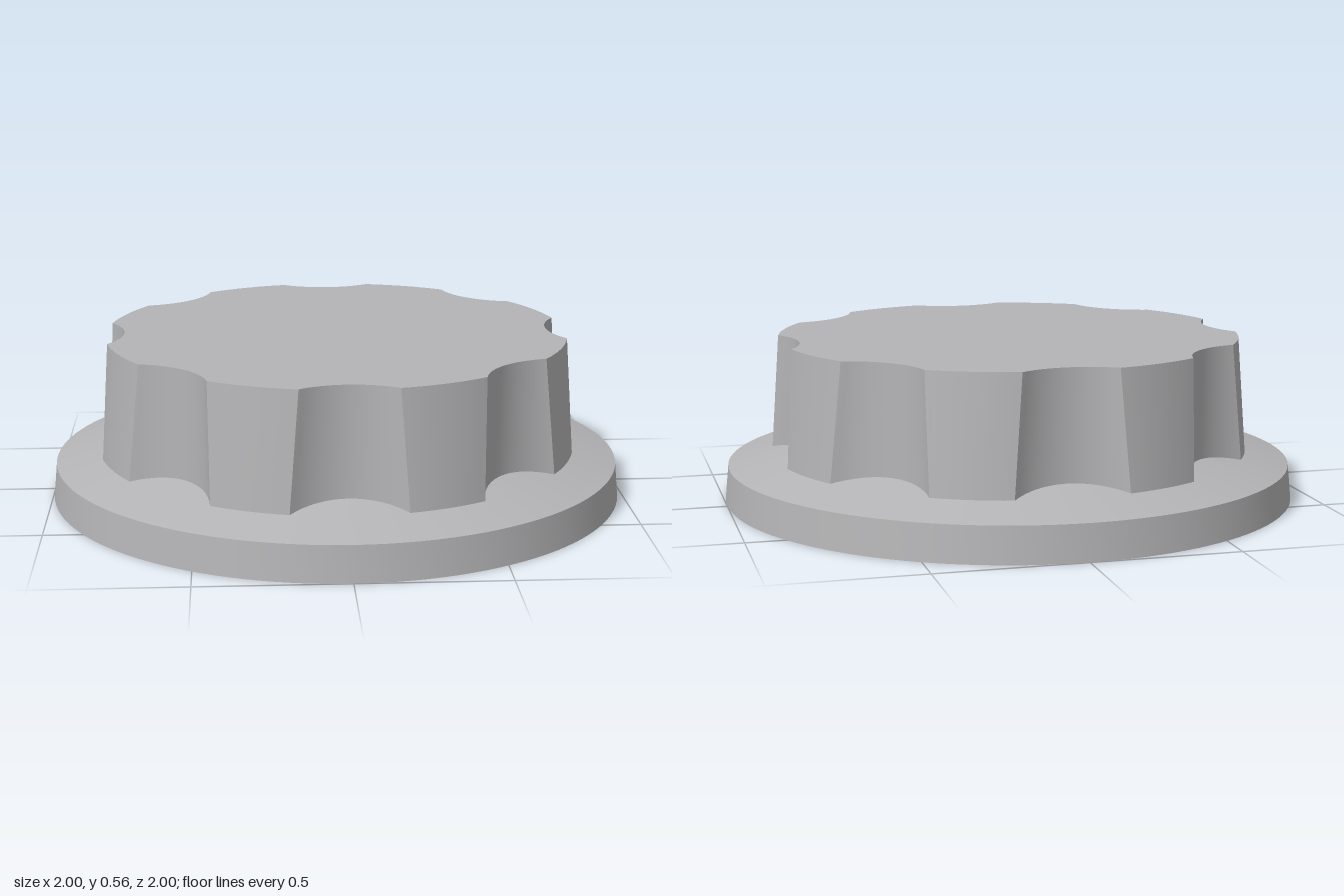
import * as THREE from 'three';
import { mergeGeometries, toCreasedNormals } from 'three/addons/utils/BufferGeometryUtils.js';

const COUNT = 8, STEP = (Math.PI * 2) / COUNT;
const CUT_C = 1.02, CUT_R = 0.28; // scallop cutter: distance of its axis and its radius
const BOTTOM = { r: 0.837, y: 0.162 }, TOP = { r: 0.806, y: 0.565 };
const SEG = 16;

// half the angle a scallop takes out of a circle of radius r
const halfAngle = (r) => Math.acos((r * r + CUT_C * CUT_C - CUT_R * CUT_R) / (2 * r * CUT_C));

// points [x, z] along scallop k at rim radius r
function scallopArc(r, k) {
  const a = halfAngle(r), phi = k * STEP;
  const b = Math.atan2(r * Math.sin(a), CUT_C - r * Math.cos(a));
  return Array.from({ length: SEG + 1 }, (_, i) => {
    const t = -b + (2 * b * i) / SEG;
    const u = CUT_C - CUT_R * Math.cos(t), v = CUT_R * Math.sin(t);
    return [u * Math.sin(phi) + v * Math.cos(phi), u * Math.cos(phi) - v * Math.sin(phi)];
  });
}

// points [x, z] along the rim between scallops k and k + 1
function rimArc(r, k) {
  const a = halfAngle(r);
  return Array.from({ length: SEG + 1 }, (_, i) => {
    const t = k * STEP + a + ((STEP - 2 * a) * i) / SEG;
    return [r * Math.sin(t), r * Math.cos(t)];
  });
}

// smooth wall strip from the bottom arc to the top arc
function strip(arc, k) {
  const low = arc(BOTTOM.r, k), high = arc(TOP.r, k);
  const pos = [], index = [];
  for (let i = 0; i <= SEG; i++) {
    pos.push(low[i][0], BOTTOM.y, low[i][1], high[i][0], TOP.y, high[i][1]);
    if (i < SEG) {
      const p = i * 2;
      index.push(p, p + 2, p + 3, p, p + 3, p + 1);
    }
  }
  const g = new THREE.BufferGeometry();
  g.setAttribute('position', new THREE.Float32BufferAttribute(pos, 3));
  g.setIndex(index);
  g.computeVertexNormals();
  return g;
}

export function createModel() {
  const group = new THREE.Group();
  const grey = new THREE.MeshStandardMaterial({ color: 0xb4b4b6 });
  grey.name = 'grey';
  const add = (name, geometry) => {
    const mesh = new THREE.Mesh(geometry, grey);
    mesh.name = name;
    group.add(mesh);
  };

  // flange: slightly tapered rim with a shallow conical top running under the grip
  const profile = [[0, 0], [1, 0], [0.988, 0.122], [0.72, 0.195]].map(([x, y]) => new THREE.Vector2(x, y));
  // the shallow cone meets the rim at a sharp edge
  add('flange', toCreasedNormals(new THREE.LatheGeometry(profile, 128), 0.5));

  // grip wall: alternating scallops and tapered rim faces
  const walls = [], outline = [];
  for (let k = 0; k < COUNT; k++) {
    for (const arc of [scallopArc, rimArc]) {
      walls.push(strip(arc, k));
      outline.push(...arc(TOP.r, k).slice(0, SEG));
    }
  }
  add('gripWall', mergeGeometries(walls));

  // flat top closing the grip
  const shape = new THREE.Shape(outline.map(([x, z]) => new THREE.Vector2(x, -z)));
  const cap = new THREE.ShapeGeometry(shape);
  cap.rotateX(-Math.PI / 2);
  cap.translate(0, TOP.y, 0);
  add('gripTop', cap);

  return group;
}
